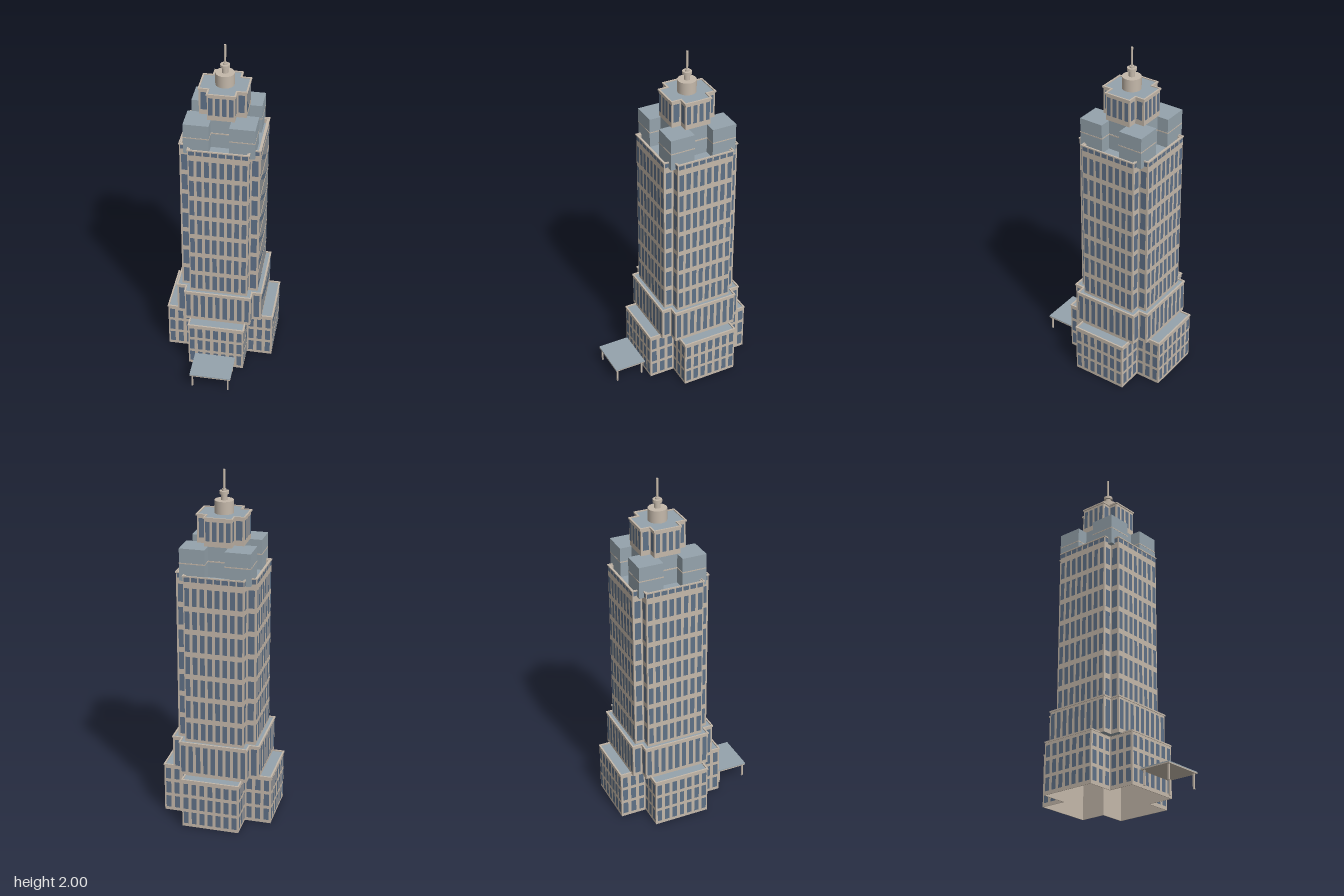
import * as THREE from 'three';
import { mergeGeometries } from 'three/addons/utils/BufferGeometryUtils.js';

export function createModel() {
  const model = new THREE.Group();
  model.name = 'skyscraper';
  const material = (name, color) => {
    const m = new THREE.MeshStandardMaterial({ color });
    m.name = name;
    return m;
  };
  const stone = material('stone', 0xc4b8aa);
  const slate = material('slate', 0x95a3ac);
  const glass = material('window glass', 0x5f7187);

  const tower = new THREE.Group();
  tower.name = 'tower';
  tower.position.z = -0.1;
  model.add(tower);

  const add = (name, geometry, mat, parent = tower) => {
    const mesh = new THREE.Mesh(geometry, mat);
    mesh.name = name;
    parent.add(mesh);
    return mesh;
  };
  const box = (name, w, h, d, x, y, z, mat, parent) =>
    add(name, new THREE.BoxGeometry(w, h, d), mat, parent).position.set(x, y, z);

  // Cross-shaped plan: arms reach to a and are b wide on each side
  const cross = (a, b) => [[b, a], [-b, a], [-b, b], [-a, b], [-a, -b], [-b, -b],
    [-b, -a], [b, -a], [b, -b], [a, -b], [a, b], [b, b]].map(([x, y]) => new THREE.Vector2(x, y));
  const extrude = (shape, y0, y1) => {
    const g = new THREE.ExtrudeGeometry(shape, { depth: y1 - y0, bevelEnabled: false });
    return g.rotateX(-Math.PI / 2).translate(0, y0, 0);
  };
  const solid = (a, b, y0, y1) => extrude(new THREE.Shape(cross(a, b)), y0, y1);
  const ring = (a, b, t, y0, y1) => {
    const shape = new THREE.Shape(cross(a, b));
    shape.holes.push(new THREE.Path(cross(a - t, b - t).reverse()));
    return extrude(shape, y0, y1);
  };

  // Window grid on every face of a cross-shaped tier
  const windows = (name, a, b, nCentre, nWing, rows, fill = 0.6) => {
    const panes = [];
    const strip = (x0, x1, z, n) => {
      const pitch = (x1 - x0) / n;
      for (let i = 0; i < n; i++) {
        for (const [y0, y1] of rows) {
          panes.push(new THREE.PlaneGeometry(pitch * fill, y1 - y0)
            .translate(x0 + pitch * (i + 0.5), (y0 + y1) / 2, z + 0.0015));
        }
      }
    };
    strip(-b, b, a, nCentre);
    strip(b, a, b, nWing);
    strip(-a, -b, b, nWing);
    const side = mergeGeometries(panes);
    const all = [0, 1, 2, 3].map(k => side.clone().rotateY(k * Math.PI / 2));
    add(name, mergeGeometries(all), glass);
  };

  // Base: hollow walls, open underneath
  add('baseWalls', ring(0.313, 0.163, 0.004, 0, 0.29), stone);
  add('baseRoof', solid(0.311, 0.161, 0.284, 0.29), slate);
  add('baseCornice', ring(0.316, 0.166, 0.009, 0.288, 0.297), stone);
  windows('baseWindows', 0.313, 0.163, 7, 3, [[0.02, 0.093], [0.112, 0.185], [0.205, 0.272]]);

  // Second tier
  add('secondTier', solid(0.248, 0.193, 0.29, 0.49), [slate, stone]);
  add('secondTierCornice', ring(0.252, 0.197, 0.009, 0.488, 0.497), stone);
  windows('secondTierWindows', 0.248, 0.193, 9, 1, [[0.312, 0.475]]);

  // Main shaft with parapet
  add('shaft', solid(0.222, 0.167, 0.49, 1.44), [slate, stone]);
  add('shaftParapet', ring(0.222, 0.167, 0.012, 1.44, 1.465), stone);
  add('shaftCornice', ring(0.226, 0.171, 0.007, 1.463, 1.47), stone);
  const shaftRows = [];
  for (let i = 0; i < 7; i++) shaftRows.push([0.508 + 0.132 * i, 0.61 + 0.132 * i]);
  windows('shaftWindows', 0.222, 0.167, 8, 1, shaftRows, 0.62);
  windows('parapetWindows', 0.222, 0.167, 8, 1, [[1.437, 1.462]], 0.8);

  // Crown: slate core and four corner blocks with a light band
  add('crownCore', solid(0.129, 0.075, 1.44, 1.61), slate);
  add('crownCoreBand', ring(0.131, 0.077, 0.004, 1.525, 1.532), stone);
  for (const sx of [-1, 1]) {
    for (const sz of [-1, 1]) {
      box('cornerBlock', 0.14, 0.18, 0.14, sx * 0.125, 1.52, sz * 0.125, slate);
      box('cornerBlockBand', 0.142, 0.006, 0.142, sx * 0.125, 1.528, sz * 0.125, stone);
    }
  }

  // Top tier
  add('topTier', solid(0.129, 0.075, 1.61, 1.765), [slate, stone]);
  add('topCornice', ring(0.134, 0.08, 0.009, 1.761, 1.77), stone);
  windows('topWindows', 0.129, 0.075, 4, 1, [[1.64, 1.747]], 0.62);

  // Stepped drum and mast
  const profile = [[0.052, 1.765], [0.052, 1.835], [0.017, 1.835], [0.017, 1.868], [0.026, 1.868],
    [0.026, 1.884], [0.012, 1.884], [0.012, 1.894], [0.006, 1.894], [0.006, 2], [0, 2]];
  const drum = [];
  for (let i = 0; i < profile.length - 1; i++) {
    // Each step is lathed alone to keep its edges sharp
    drum.push(new THREE.LatheGeometry([profile[i], profile[i + 1]].map(p => new THREE.Vector2(...p)), 32));
  }
  add('mast', mergeGeometries(drum), stone);

  // Entrance canopy on four posts
  const canopy = new THREE.Group();
  canopy.name = 'entranceCanopy';
  model.add(canopy);
  box('canopyFrame', 0.24, 0.006, 0.185, 0, 0.087, 0.3225, stone, canopy);
  box('canopyRoof', 0.24, 0.005, 0.185, 0, 0.0925, 0.3225, slate, canopy);
  for (const x of [-0.105, 0.105]) {
    for (const z of [0.245, 0.402]) box('canopyPost', 0.009, 0.084, 0.009, x, 0.042, z, stone, canopy);
  }
  return model;
}
